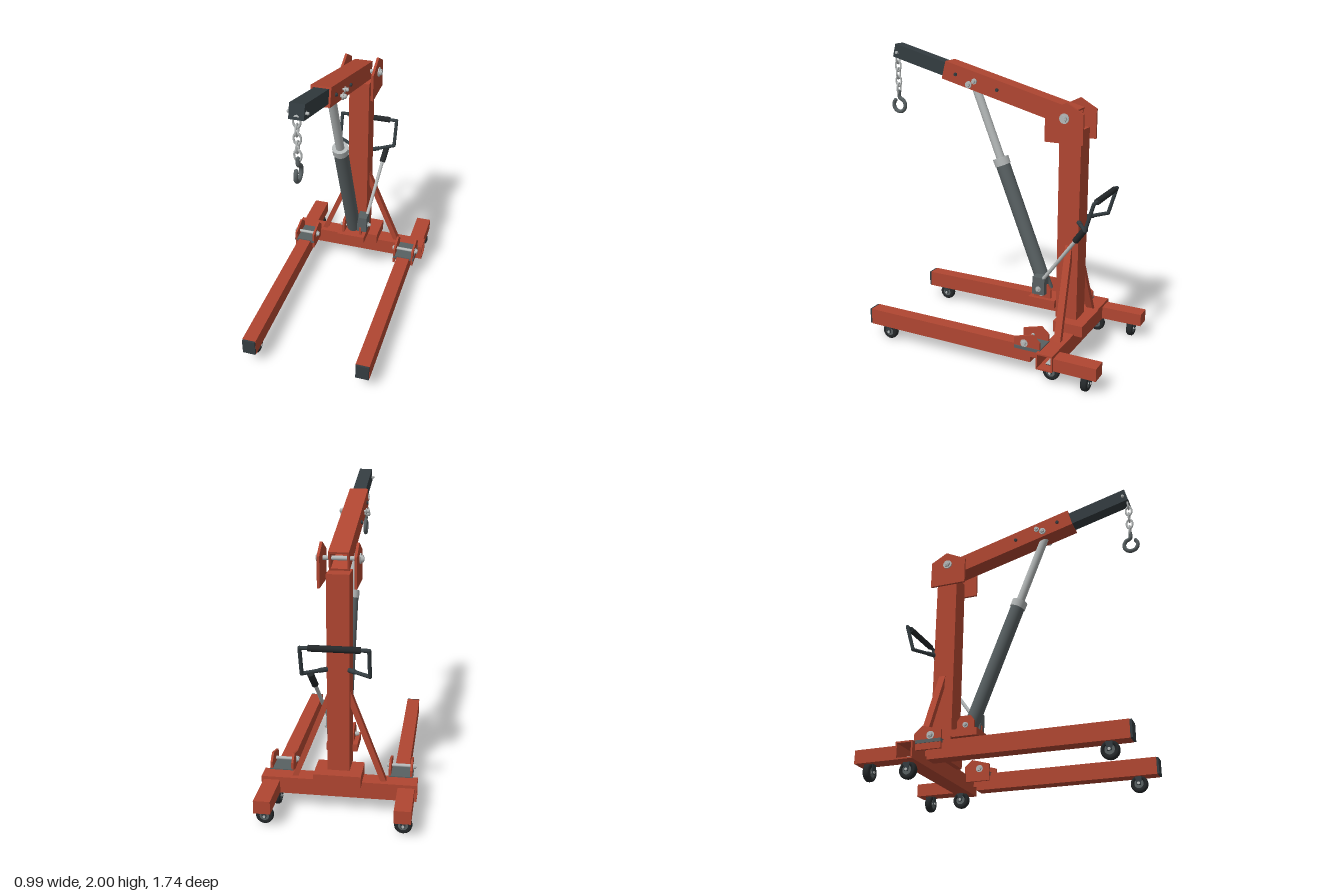
import * as THREE from 'three';

const mat = (color) => new THREE.MeshStandardMaterial({ color });
const V = (x, y, z) => new THREE.Vector3(x, y, z);

export function createModel() {
  const root = new THREE.Group();
  root.name = 'engineHoist';
  const red = mat(0xb04631), dark = mat(0x333c40), grey = mat(0x586062);
  const steel = mat(0xb4b8b8), rubber = mat(0x24282a);

  const add = (name, geo, m, parent = root) => {
    const mesh = new THREE.Mesh(geo, m);
    mesh.name = name;
    parent.add(mesh);
    return mesh;
  };
  // Box given by its min and max on each axis
  const box = (name, m, x0, x1, y0, y1, z0, z1, parent = root) => {
    const g = new THREE.BoxGeometry(Math.abs(x1 - x0), y1 - y0, z1 - z0);
    g.translate((x0 + x1) / 2, (y0 + y1) / 2, (z0 + z1) / 2);
    return add(name, g, m, parent);
  };
  // Round bar between two points
  const rod = (name, m, a, b, r, parent = root, seg = 20) => {
    const d = b.clone().sub(a);
    const mesh = add(name, new THREE.CylinderGeometry(r, r, d.length(), seg), m, parent);
    mesh.position.copy(a).add(b).multiplyScalar(0.5);
    mesh.quaternion.setFromUnitVectors(V(0, 1, 0), d.normalize());
    return mesh;
  };
  // Side plate: outline of [z, y] points, thickness along x, centred at x
  const plate = (name, m, pts, x, t, parent = root) => {
    const shape = new THREE.Shape(pts.map(([z, y]) => new THREE.Vector2(z, y)));
    const g = new THREE.ExtrudeGeometry(shape, { depth: t, bevelEnabled: false });
    g.rotateY(-Math.PI / 2).translate(x + t / 2, 0, 0);
    return add(name, g, m, parent);
  };
  // Hollow rectangular tube along z, starting at z = 0
  const tube = (w, h, len, wall) => {
    const rect = (P, a, b) => {
      const p = new P();
      p.moveTo(-a, -b); p.lineTo(a, -b); p.lineTo(a, b); p.lineTo(-a, b); p.closePath();
      return p;
    };
    const shape = rect(THREE.Shape, w / 2, h / 2);
    shape.holes.push(rect(THREE.Path, w / 2 - wall, h / 2 - wall));
    return new THREE.ExtrudeGeometry(shape, { depth: len, bevelEnabled: false });
  };
  // Cross bolt along x: shank, hex heads and washers at both ends
  const bolt = (name, x0, x1, y, z, r, parent = root, m = steel) => {
    const g = new THREE.Group();
    g.name = name;
    parent.add(g);
    rod('shank', m, V(x0, y, z), V(x1, y, z), r * 0.5, g, 12);
    for (const [x, s] of [[x0, 1], [x1, -1]]) {
      rod('head', m, V(x + s * 0.003, y, z), V(x + s * 0.018, y, z), r * 0.8, g, 6);
      rod('washer', m, V(x + s * 0.018, y, z), V(x + s * 0.025, y, z), r * 1.15, g, 16);
    }
  };

  // Caster: wheel, hub, fork and swivel plate
  const caster = (x, z, top, turn) => {
    const g = new THREE.Group();
    g.name = 'caster';
    g.position.set(x, 0, z);
    g.rotation.y = turn;
    root.add(g);
    const profile = [[0.03, -0.02], [0.046, -0.022], [0.054, -0.014], [0.056, 0],
      [0.054, 0.014], [0.046, 0.022], [0.03, 0.02], [0.03, -0.02]];
    const tyre = new THREE.LatheGeometry(profile.map(([r, h]) => new THREE.Vector2(r, h)), 28);
    tyre.rotateZ(Math.PI / 2).translate(0, 0.056, 0);
    add('tyre', tyre, rubber, g);
    rod('hub', grey, V(-0.018, 0.056, 0), V(0.018, 0.056, 0), 0.031, g);
    rod('axle', steel, V(-0.034, 0.056, 0), V(0.034, 0.056, 0), 0.009, g, 12);
    for (const s of [-1, 1])
      plate('forkSide', dark, [[-0.012, 0.045], [0.012, 0.045], [0.026, 0.118], [-0.026, 0.118]], s * 0.027, 0.005, g);
    box('forkTop', steel, -0.03, 0.03, 0.114, 0.12, -0.027, 0.027, g);
    rod('stem', steel, V(0, 0.11, 0), V(0, top, 0), 0.014, g, 12);
  };

  // Base: hollow cross tube and mast foot
  const cross = tube(0.113, 0.11, 0.99, 0.01);
  cross.rotateY(Math.PI / 2).translate(-0.495, 0.155, -0.533);
  add('crossTube', cross, red);
  box('mastFoot', red, -0.15, 0.15, 0.2, 0.275, -0.645, -0.44);

  // Legs, hinge brackets, braces and wheels, mirrored
  for (const s of [-1, 1]) {
    box('frontLeg', red, s * 0.34, s * 0.432, 0.1, 0.21, -0.41, 0.815);
    box('legEndCap', dark, s * 0.342, s * 0.43, 0.102, 0.208, 0.815, 0.828);
    box('rearLeg', red, s * 0.375, s * 0.48, 0.105, 0.19, -0.872, -0.585);
    box('hingePlate', grey, s * 0.31, s * 0.463, 0.195, 0.216, -0.49, -0.31);
    for (const x of [0.316, 0.452])
      plate('hingeSide', red, [[-0.31, 0.155], [-0.31, 0.27], [-0.435, 0.305], [-0.487, 0.26], [-0.487, 0.155]], s * x, 0.014);
    bolt('hingeBolt', s * 0.385 - 0.095, s * 0.385 + 0.095, 0.24, -0.38, 0.022);
    caster(s * 0.386, 0.69, 0.12, 0);
    caster(s * 0.4, -0.545, 0.14, 0);
    caster(s * 0.428, -0.79, 0.12, Math.PI / 2);

    // Diagonal brace from cross tube to mast
    const a = V(s * 0.285, 0.2, -0.535), b = V(s * 0.055, 0.78, -0.505);
    const brace = add('mastBrace', new THREE.BoxGeometry(0.035, a.distanceTo(b), 0.045), red);
    brace.position.copy(a).add(b).multiplyScalar(0.5);
    brace.quaternion.setFromUnitVectors(V(0, 1, 0), b.clone().sub(a).normalize());

    // Boom pivot cheek
    plate('pivotCheek', red, [[-0.345, 1.46], [-0.345, 1.645], [-0.487, 1.715], [-0.6, 1.65], [-0.6, 1.46]], s * 0.11, 0.016);

    // Push handle side
    const pts = [V(s * 0.068, 0.95, -0.57), V(s * 0.205, 0.95, -0.665), V(s * 0.205, 1.13, -0.718), V(s * 0.14, 1.13, -0.718)];
    for (let i = 0; i < 3; i++) rod('pushHandleBar', dark, pts[i], pts[i + 1], 0.012);
    for (const p of [pts[1], pts[2]])
      add('pushHandleCorner', new THREE.SphereGeometry(0.012, 16, 10), dark).position.copy(p);
    rod('pushHandleSocket', dark, pts[0], pts[0].clone().lerp(pts[1], 0.3), 0.015);

    // Ram foot ear
    plate('ramFootEar', red, [[-0.265, 0.385], [-0.265, 0.45], [-0.29, 0.485], [-0.36, 0.485], [-0.385, 0.45], [-0.385, 0.385]], s * 0.064, 0.016);
  }
  rod('pushHandleGrip', rubber, V(-0.155, 1.13, -0.718), V(0.155, 1.13, -0.718), 0.02);

  // Mast
  box('mast', red, -0.07, 0.07, 0.27, 1.54, -0.57, -0.424);
  box('ramShelf', red, -0.1, 0.1, 0.34, 0.39, -0.425, -0.235);
  bolt('boomPivot', -0.145, 0.145, 1.617, -0.476, 0.028);

  // Hydraulic ram
  const foot = V(0, 0.42, -0.322), eye = V(0, 1.77, 0.216);
  const along = (t) => foot.clone().lerp(eye, t);
  rod('ramCylinder', grey, along(0), along(0.62), 0.048, root, 32);
  rod('ramCollar', steel, along(0.61), along(0.645), 0.053, root, 32);
  rod('ramRod', steel, along(0.64), along(0.99), 0.028, root, 24);
  bolt('ramFootBolt', -0.1, 0.1, 0.42, -0.322, 0.016);

  // Pump block and lever
  box('pumpBlock', grey, 0.04, 0.11, 0.42, 0.54, -0.355, -0.268);
  bolt('pumpBolt', 0.02, 0.132, 0.46, -0.312, 0.016);
  const l0 = V(0.095, 0.51, -0.325), l1 = V(0.141, 0.85, -0.578), l2 = V(0.156, 0.945, -0.648);
  rod('pumpLever', steel, l0, l1, 0.012);
  rod('pumpLeverGrip', rubber, l1, l2, 0.021);

  // Boom, tilted about its pivot
  const boom = new THREE.Group();
  boom.name = 'boom';
  boom.position.set(0, 1.617, -0.476);
  boom.rotation.x = -THREE.MathUtils.degToRad(14.8);
  root.add(boom);
  add('boomTube', tube(0.124, 0.12, 0.965, 0.012).translate(0, 0, -0.045), red, boom);
  box('extensionArm', dark, -0.044, 0.044, -0.045, 0.045, 0.5, 1.332, boom);
  for (const z of [0.51, 0.825]) bolt('boomPin', -0.075, 0.075, 0, z, 0.015, boom, dark);
  bolt('ramEyeBolt', -0.1, 0.1, -0.03, 0.71, 0.02, boom);
  bolt('armLockPin', -0.1, 0.1, 0.004, 0.675, 0.016, boom);
  bolt('chainPin', -0.062, 0.062, -0.008, 1.305, 0.012, boom);

  // Chain of alternating oval links
  const load = new THREE.Group();
  load.name = 'chainAndHook';
  load.position.set(0, 0, 0.814);
  root.add(load);
  for (let i = 0; i < 5; i++) {
    const link = add('chainLink', new THREE.TorusGeometry(0.021, 0.006, 8, 20), steel, load);
    link.scale.y = 1.6;
    link.position.y = 1.9 - i * 0.052;
    link.rotation.y = (i % 2) * Math.PI / 2;
  }
  // Hook: shank and open ring, seen round from the side
  const hookPts = [V(0, 1.67, 0), V(0, 1.635, 0)];
  for (let i = 0; i <= 14; i++) {
    const t = Math.PI / 2 - 0.25 - i * (Math.PI * 1.66 / 14);
    hookPts.push(V(0, 1.578 + 0.046 * Math.sin(t), -0.046 * Math.cos(t)));
  }
  const curve = new THREE.CatmullRomCurve3(hookPts);
  add('hook', new THREE.TubeGeometry(curve, 60, 0.013, 12), grey, load);
  for (const p of [hookPts[0], hookPts[hookPts.length - 1]])
    add('hookEnd', new THREE.SphereGeometry(0.013, 14, 10), grey, load).position.copy(p);

  return root;
}
